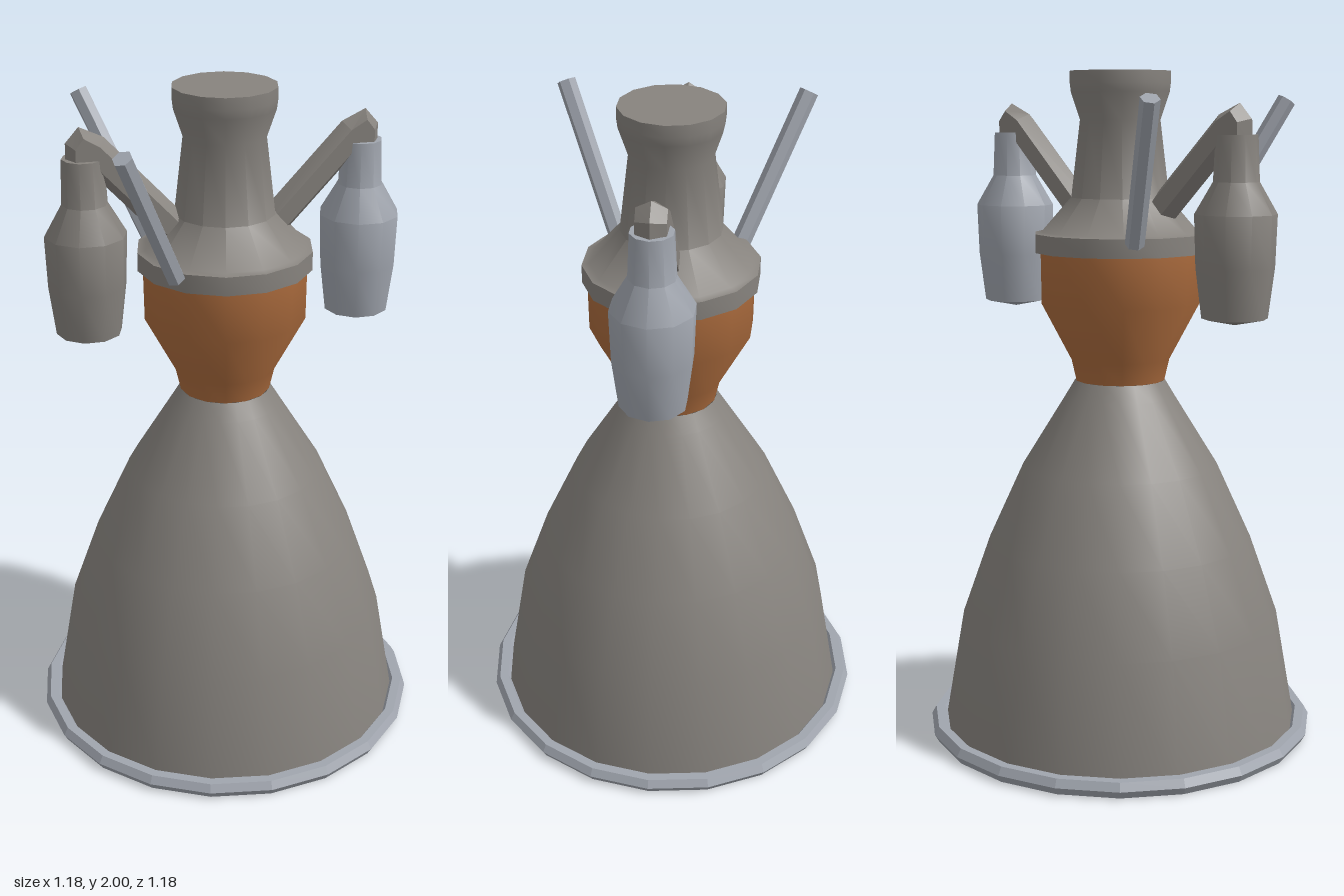
import * as THREE from 'three';
import { toCreasedNormals } from 'three/addons/utils/BufferGeometryUtils.js';

const paint = (name, color, side = THREE.FrontSide) => {
  const m = new THREE.MeshStandardMaterial({ color, side });
  m.name = name;
  return m;
};

// Turned part from [radius, height] pairs listed bottom to top, with a corner on the x axis
function turned(name, profile, sides, material, crease = 0.7) {
  const pts = profile.map(([r, y]) => new THREE.Vector2(r, y));
  const geo = new THREE.LatheGeometry(pts, sides).rotateY(Math.PI / 2);
  const mesh = new THREE.Mesh(toCreasedNormals(geo, crease), material);
  mesh.name = name;
  return mesh;
}

// Six-sided pipe along a path of [x, y, normalX, normalY] stations, lying in the xy plane
function hexPipe(name, stations, radius, material) {
  const pos = [], index = [], n = 6;
  stations.forEach(([x, y, nx, ny]) => {
    const len = Math.hypot(nx, ny);
    for (let i = 0; i < n; i++) {
      const a = (i / n) * Math.PI * 2, c = (Math.cos(a) * radius) / len;
      pos.push(x + nx * c, y + ny * c, Math.sin(a) * radius);
    }
  });
  for (let s = 0; s < stations.length - 1; s++) {
    for (let i = 0; i < n; i++) {
      const a = s * n + i, b = s * n + ((i + 1) % n);
      index.push(a, b, a + n, b, b + n, a + n);
    }
  }
  const geo = new THREE.BufferGeometry();
  geo.setAttribute('position', new THREE.Float32BufferAttribute(pos, 3));
  geo.setIndex(index);
  const mesh = new THREE.Mesh(toCreasedNormals(geo, 0.3), material);
  mesh.name = name;
  return mesh;
}

// Straight hexagonal rod between two points
function rod(name, from, to, radius, material) {
  const dir = to.clone().sub(from);
  const geo = new THREE.CylinderGeometry(radius, radius, dir.length(), 6);
  const mesh = new THREE.Mesh(toCreasedNormals(geo, 0.3), material);
  mesh.position.copy(from).add(to).multiplyScalar(0.5);
  mesh.quaternion.setFromUnitVectors(new THREE.Vector3(0, 1, 0), dir.normalize());
  mesh.name = name;
  return mesh;
}

export function createModel() {
  const grey = paint('warm grey metal', 0x87837e, THREE.DoubleSide);
  const steel = paint('pale steel', 0xa0a5ae);
  const copper = paint('copper', 0xab6b3d, THREE.DoubleSide);
  const model = new THREE.Group();
  model.name = 'rocketEngine';

  // Open bell nozzle
  model.add(turned('nozzleBell', [
    [0.545, 0.015], [0.485, 0.36], [0.4, 0.6], [0.295, 0.83], [0.165, 1.04], [0.135, 1.09],
  ], 20, grey));

  // Hexagonal ring around the nozzle mouth
  const ring = [];
  for (let i = 0; i <= 6; i++) {
    const a = (i / 6) * Math.PI * 2;
    ring.push([0.564 + 0.027 * Math.cos(a), 0.0235 + 0.027 * Math.sin(a)]);
  }
  model.add(turned('nozzleRim', ring, 20, steel, 0.1));

  // Combustion chamber
  model.add(turned('combustionChamber', [
    [0.135, 1.09], [0.15, 1.155], [0.24, 1.325], [0.242, 1.48],
  ], 14, copper));

  // Collar, dome, neck and top cup
  model.add(turned('injectorHead', [
    [0, 1.475], [0.257, 1.475], [0.257, 1.53], [0.235, 1.535], [0.147, 1.635], [0.12, 1.86],
    [0.147, 1.94], [0.15, 1.965], [0.15, 2], [0, 2],
  ], 14, grey));

  // Pumps with their feed arms, one on each side
  for (const [side, material] of [['left', steel], ['right', grey]]) {
    const unit = new THREE.Group();
    unit.name = side + 'PumpUnit';
    const pump = turned('pump', [
      [0, 1.285], [0.095, 1.305], [0.113, 1.45], [0.118, 1.6], [0.066, 1.69], [0.06, 1.82], [0, 1.82],
    ], 10, material);
    pump.position.x = 0.403;
    unit.add(pump, hexPipe('feedArm', [
      [0.1, 1.545, -0.7, 0.74], [0.375, 1.84, -0.68, 0.74], [0.397, 1.862, 0.3, 0.95],
      [0.406, 1.845, 0.92, 0.4], [0.404, 1.79, 1, 0],
    ], 0.048, grey));
    if (side === 'right') unit.rotation.y = Math.PI;
    model.add(unit);
  }

  // Slanted struts on the right half, front and back
  for (const [name, s] of [['frontStrut', 1], ['backStrut', -1]]) {
    model.add(rod(name, new THREE.Vector3(-0.185, 1.515, 0.185 * s),
      new THREE.Vector3(-0.355, 1.918, 0.355 * s), 0.028, steel));
  }
  return model;
}
